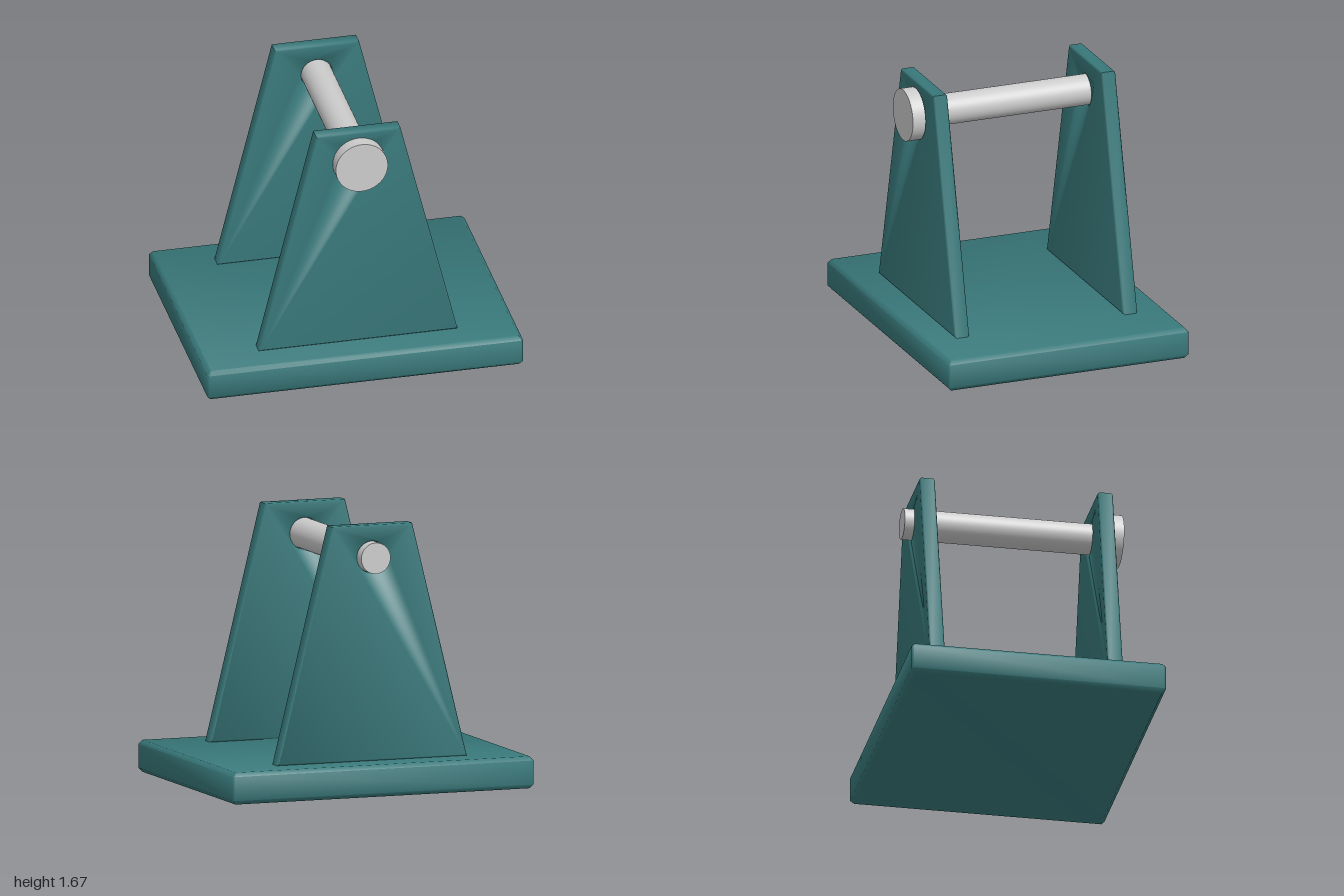
import * as THREE from 'three';
import { toCreasedNormals } from 'three/addons/utils/BufferGeometryUtils.js';

const PIN_Y = 1.47;
const PIN_R = 0.097;

// Chamfered slab, centred on its thickness; the outline is the full outer size.
function slab(shape, thickness, bevel) {
  const geo = new THREE.ExtrudeGeometry(shape, {
    depth: thickness - 2 * bevel,
    bevelEnabled: true,
    bevelThickness: bevel,
    bevelSize: bevel,
    bevelOffset: -bevel,
    bevelSegments: 1,
    curveSegments: 32,
  });
  geo.translate(0, 0, -(thickness - 2 * bevel) / 2);
  return toCreasedNormals(geo, THREE.MathUtils.degToRad(50));
}

// Cylinder lying along z between two z positions.
function rod(name, radius, z0, z1, material) {
  const geo = new THREE.CylinderGeometry(radius, radius, z1 - z0, 48);
  geo.rotateX(Math.PI / 2);
  const mesh = new THREE.Mesh(geo, material);
  mesh.name = name;
  mesh.position.set(0, PIN_Y, (z0 + z1) / 2);
  return mesh;
}

export function createModel() {
  const group = new THREE.Group();
  group.name = 'clevisBracket';
  const teal = new THREE.MeshStandardMaterial({ color: 0x39797b });
  const grey = new THREE.MeshStandardMaterial({ color: 0xcccccc });

  // Base plate with small chamfers on every edge
  const w = 1, d = 0.8, c = 0.012;
  const baseShape = new THREE.Shape([
    [-w + c, -d], [w - c, -d], [w, -d + c], [w, d - c],
    [w - c, d], [-w + c, d], [-w, d - c], [-w, -d + c],
  ].map(([x, y]) => new THREE.Vector2(x, y)));
  const base = new THREE.Mesh(slab(baseShape, 0.2, 0.025).rotateX(-Math.PI / 2), teal);
  base.name = 'basePlate';
  base.position.y = 0.1;
  group.add(base);

  // Two tapered uprights bored for the pin
  const cheekShape = new THREE.Shape([
    [-0.63, 0.2], [0.63, 0.2], [0.267, 1.67], [-0.267, 1.67],
  ].map(([x, y]) => new THREE.Vector2(x, y)));
  cheekShape.holes.push(new THREE.Path().absarc(0, PIN_Y, PIN_R + 0.002, 0, Math.PI * 2, true));
  const cheekGeo = slab(cheekShape, 0.096, 0.01);
  for (const [name, z] of [['frontUpright', 0.56], ['backUpright', -0.56]]) {
    const cheek = new THREE.Mesh(cheekGeo, teal);
    cheek.name = name;
    cheek.position.z = z;
    group.add(cheek);
  }

  // Headed pin through both uprights
  group.add(rod('pinShank', PIN_R, -0.667, 0.62, grey));
  group.add(rod('pinHead', 0.165, 0.615, 0.7, grey));

  return group;
}
